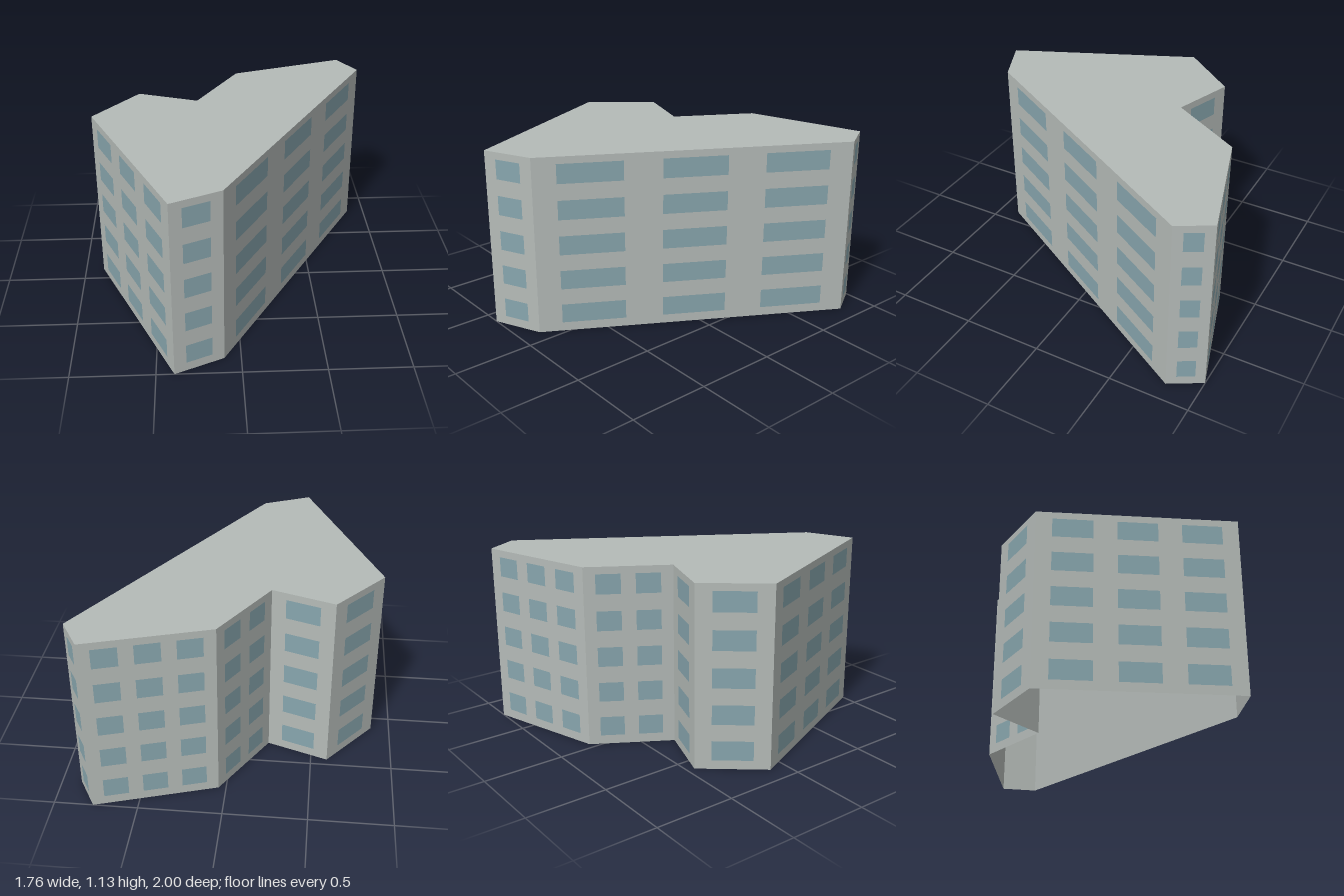
import * as THREE from 'three';

const HEIGHT = 1.132;
const FLOORS = 5;
const FLOOR_PITCH = 0.227;
const WINDOW_HEIGHT = 0.123;
const CORNER_MARGIN = 0.028; // blank wall at both ends of each facade
const WINDOW_SHARE = 0.63; // window width within its bay

// Footprint corners [x, z], anticlockwise from above, with the number of
// window columns on the wall that starts at each corner
const CORNERS = [
  [-0.393, 1.0, 1],
  [-0.1, 0.868, 3],
  [0.882, -0.803, 1],
  [0.767, -1.0, 3],
  [0.045, -0.776, 2],
  [-0.226, -0.323, 1],
  [-0.6, -0.453, 1],
  [-0.882, -0.107, 3],
];

export function createModel() {
  const group = new THREE.Group();
  group.name = 'apartmentBlock';

  // The shell is open underneath, so its inner faces show as well
  const concrete = new THREE.MeshStandardMaterial({ color: 0xb5bbb8, side: THREE.DoubleSide });
  concrete.name = 'concreteGrey';
  const glass = new THREE.MeshStandardMaterial({ color: 0x88a6ae });
  glass.name = 'windowBlue';

  // Flat roof
  const footprint = new THREE.Shape(CORNERS.map(([x, z]) => new THREE.Vector2(x, -z)));
  const roof = new THREE.Mesh(new THREE.ShapeGeometry(footprint), concrete);
  roof.name = 'roof';
  roof.rotation.x = -Math.PI / 2;
  roof.position.y = HEIGHT;
  group.add(roof);

  // One facade per footprint edge: a wall with a grid of flat panes
  CORNERS.forEach(([x0, z0, columns], i) => {
    const [x1, z1] = CORNERS[(i + 1) % CORNERS.length];
    const length = Math.hypot(x1 - x0, z1 - z0);
    const bay = (length - 2 * CORNER_MARGIN) / columns;

    const facade = new THREE.Group();
    facade.name = `facade${i + 1}`;
    facade.position.set((x0 + x1) / 2, 0, (z0 + z1) / 2);
    facade.rotation.y = Math.atan2(z0 - z1, x1 - x0);

    const wall = new THREE.Mesh(new THREE.PlaneGeometry(length, HEIGHT), concrete);
    wall.name = 'wall';
    wall.position.y = HEIGHT / 2;
    facade.add(wall);

    const pane = new THREE.PlaneGeometry(bay * WINDOW_SHARE, WINDOW_HEIGHT);
    for (let floor = 0; floor < FLOORS; floor++) {
      for (let c = 0; c < columns; c++) {
        const mesh = new THREE.Mesh(pane, glass);
        mesh.name = 'window';
        mesh.position.set((c - (columns - 1) / 2) * bay, 0.118 + floor * FLOOR_PITCH, 0.0012);
        facade.add(mesh);
      }
    }
    group.add(facade);
  });

  return group;
}
